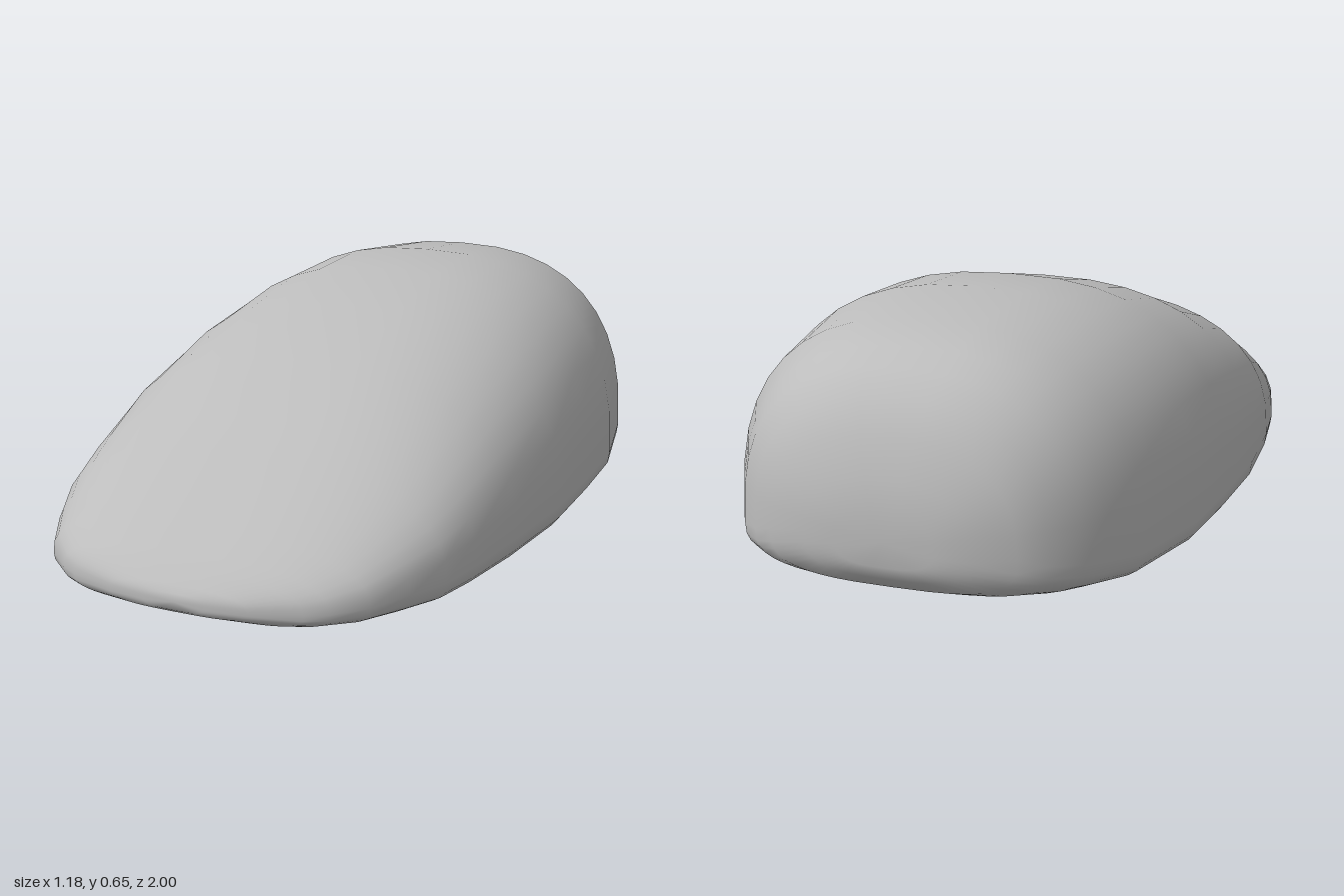
import * as THREE from 'three';

// Cross-sections from back to front: z, half width, top, bottom, height of widest point
const SECTIONS = [
  [-1.0, 0.12, 0.25, 0.13, 0.19],
  [-0.99, 0.2, 0.33, 0.1, 0.19],
  [-0.96, 0.3, 0.42, 0.07, 0.17],
  [-0.92, 0.36, 0.5, 0.055, 0.15],
  [-0.86, 0.42, 0.55, 0.043, 0.14],
  [-0.8, 0.455, 0.585, 0.036, 0.13],
  [-0.7, 0.51, 0.625, 0.025, 0.12],
  [-0.43, 0.567, 0.65, 0.013, 0.11],
  [-0.19, 0.582, 0.635, 0.005, 0.11],
  [0.07, 0.59, 0.58, 0.0, 0.11],
  [0.34, 0.572, 0.495, 0.005, 0.11],
  [0.54, 0.545, 0.395, 0.012, 0.105],
  [0.66, 0.52, 0.335, 0.018, 0.1],
  [0.76, 0.475, 0.28, 0.025, 0.1],
  [0.86, 0.42, 0.22, 0.034, 0.095],
  [0.92, 0.35, 0.18, 0.04, 0.09],
  [0.95, 0.3, 0.16, 0.047, 0.09],
  [0.985, 0.18, 0.125, 0.06, 0.09],
  [1.0, 0.08, 0.11, 0.07, 0.09],
];
const SIDES = 40;

// Rounded power curve that keeps its sign
const bend = (v, n) => Math.sign(v) * Math.pow(Math.abs(v), 2 / n);

function shellGeometry() {
  const positions = [];
  const index = [];

  // Each ring is a domed upper half over a flatter lower half
  for (const [z, width, top, bottom, mid] of SECTIONS) {
    for (let j = 0; j < SIDES; j++) {
      const a = (j / SIDES) * Math.PI * 2;
      const up = Math.sin(a) >= 0;
      const n = up ? 2.5 : 3.1;
      const height = up ? top - mid : mid - bottom;
      positions.push(width * bend(Math.cos(a), n), mid + height * bend(Math.sin(a), n), z);
    }
  }

  // Skin between neighbouring rings
  const last = SECTIONS.length - 1;
  for (let i = 0; i < last; i++) {
    for (let j = 0; j < SIDES; j++) {
      const k = (j + 1) % SIDES;
      const a = i * SIDES + j;
      const b = i * SIDES + k;
      index.push(a, b, a + SIDES, b, b + SIDES, a + SIDES);
    }
  }

  // Small end caps
  for (const ring of [0, last]) {
    const [z, , , , mid] = SECTIONS[ring];
    const centre = positions.length / 3;
    positions.push(0, mid, z);
    for (let j = 0; j < SIDES; j++) {
      const a = ring * SIDES + j;
      const b = ring * SIDES + ((j + 1) % SIDES);
      if (ring === 0) index.push(centre, b, a);
      else index.push(centre, a, b);
    }
  }

  const geometry = new THREE.BufferGeometry();
  geometry.setAttribute('position', new THREE.Float32BufferAttribute(positions, 3));
  geometry.setIndex(index);
  geometry.computeVertexNormals();
  return geometry;
}

export function createModel() {
  const group = new THREE.Group();
  group.name = 'smoothWedge';

  const grey = new THREE.MeshStandardMaterial({ color: 0xbcbcbc });
  grey.name = 'grey';

  const body = new THREE.Mesh(shellGeometry(), grey);
  body.name = 'body';
  group.add(body);
  return group;
}
